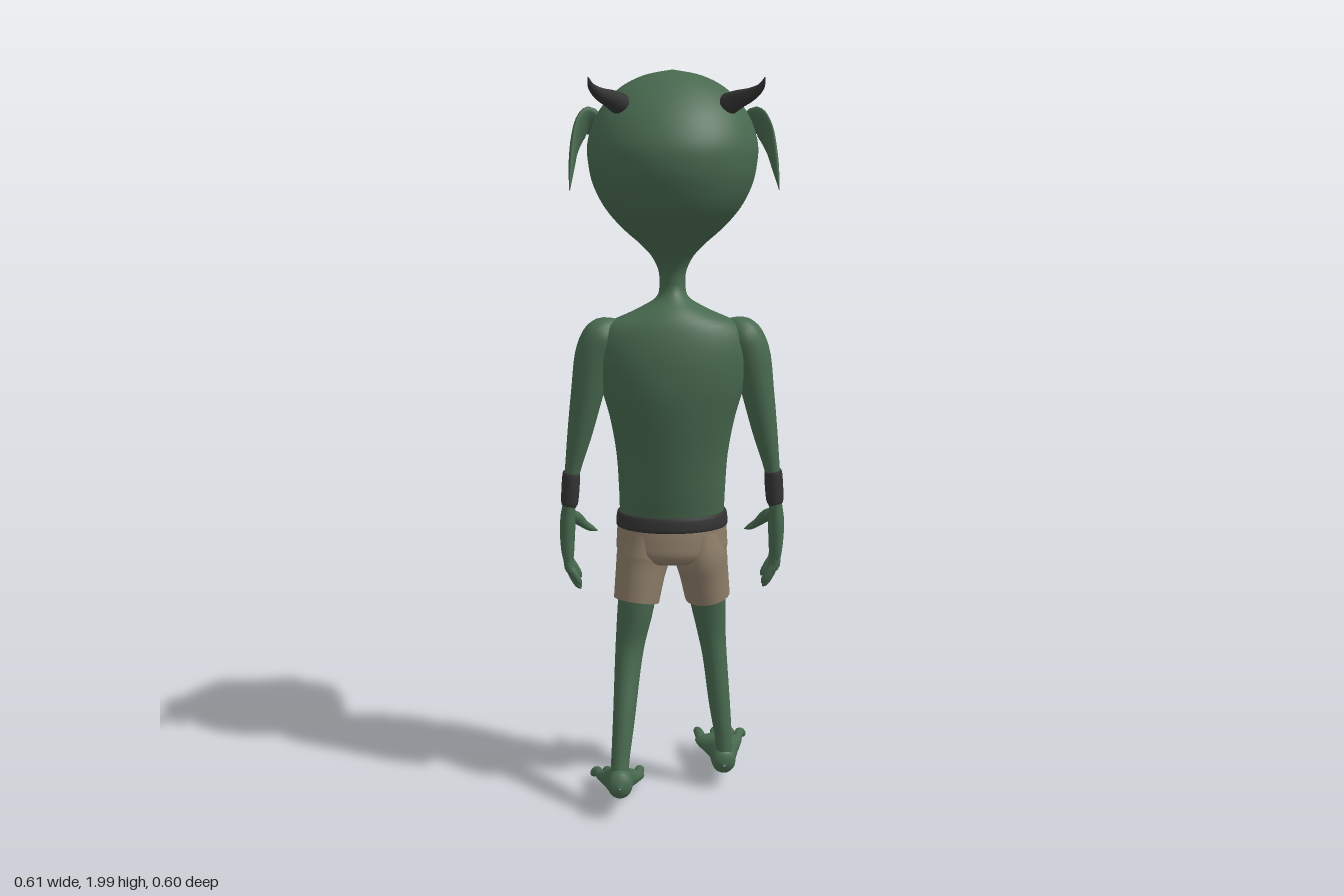
import * as THREE from 'three';

const mat = (name, color) => {
  const m = new THREE.MeshStandardMaterial({ color });
  m.name = name;
  return m;
};

// Smooth interpolation through rows of numbers, t in 0..1
function sample(rows, t) {
  const n = rows.length - 1, f = Math.min(Math.max(t, 0), 1) * n;
  const i = Math.min(Math.floor(f), n - 1), k = f - i;
  const a = rows[Math.max(i - 1, 0)], b = rows[i], c = rows[i + 1], d = rows[Math.min(i + 2, n)];
  return b.map((_, j) => b[j] + 0.5 * k * (c[j] - a[j] +
    k * (2 * a[j] - 5 * b[j] + 4 * c[j] - d[j] + k * (3 * (b[j] - c[j]) + d[j] - a[j]))));
}

// Surface from fn(u, v); closed joins the ends in u
function grid(fn, nu, nv, closed) {
  const pos = [], idx = [], cols = closed ? nu : nu + 1;
  for (let j = 0; j <= nv; j++)
    for (let i = 0; i < cols; i++) pos.push(...fn(i / nu, j / nv).toArray());
  for (let j = 0; j < nv; j++)
    for (let i = 0; i < nu; i++) {
      const a = j * cols + i, b = j * cols + (i + 1) % cols;
      idx.push(a, b, b + cols, a, b + cols, a + cols);
    }
  const g = new THREE.BufferGeometry();
  g.setAttribute('position', new THREE.Float32BufferAttribute(pos, 3));
  g.setIndex(idx);
  g.computeVertexNormals();
  return g;
}

// Point on a horizontal section [y, halfWidth, zCentre, zBack, zFront]; angle 0 faces -z
function sectionPoint(rows, angle, t) {
  const [y, w, zc, zb, zf] = sample(rows, t), c = Math.cos(angle);
  return new THREE.Vector3(Math.max(w, 0.0005) * Math.sin(angle), y, c > 0 ? zc + (zf - zc) * c : zc - (zb - zc) * c);
}
const stack = (rows, nu = 40, nv = 40) =>
  grid((u, v) => sectionPoint(rows, u * Math.PI * 2, v), nu, nv, true);

// Tapered limb through points [x, y, z, radiusA, radiusB], mirrored by s
function limb(points, s = 1, ref = [1, 0, 0], nu = 14, nv = 20) {
  const rows = points.map(([x, y, z, r, q = r]) => [x * s, y, z, r, q]);
  const at = t => new THREE.Vector3(...sample(rows, t).slice(0, 3));
  return grid((u, v) => {
    const r = sample(rows, v), a = u * Math.PI * 2;
    const T = at(v + 0.01).sub(at(v - 0.01)).normalize();
    const A = new THREE.Vector3(...ref).addScaledVector(T, -T.dot(new THREE.Vector3(...ref))).normalize();
    const B = T.clone().cross(A);
    return at(v).addScaledVector(A, Math.max(r[3], 0.0005) * Math.sin(a))
      .addScaledVector(B, -Math.max(r[4], 0.0005) * Math.cos(a));
  }, nu, nv, true);
}

const HEAD = [
  [2.0, 0, 0.04, 0.04, 0.04], [1.985, 0.075, 0.05, 0.12, -0.05], [1.95, 0.14, 0.06, 0.175, -0.108],
  [1.89, 0.192, 0.06, 0.23, -0.135], [1.82, 0.217, 0.06, 0.265, -0.142], [1.76, 0.215, 0.06, 0.268, -0.158],
  [1.71, 0.203, 0.06, 0.255, -0.182], [1.66, 0.178, 0.06, 0.232, -0.193], [1.62, 0.147, 0.055, 0.2, -0.198],
  [1.59, 0.117, 0.05, 0.175, -0.19], [1.565, 0.088, 0.05, 0.152, -0.13], [1.53, 0.055, 0.05, 0.12, -0.04],
  [1.49, 0.036, 0.05, 0.097, 0.002], [1.45, 0.034, 0.05, 0.094, 0.006]];

// Point on the head at a given height, pushed outward by off
function headPoint(angle, y, off = 0) {
  let lo = 0, hi = 1;
  for (let i = 0; i < 24; i++) {
    const m = (lo + hi) / 2;
    if (sample(HEAD, m)[0] > y) lo = m; else hi = m;
  }
  const p = sectionPoint(HEAD, angle, lo);
  return p.add(new THREE.Vector3(Math.sin(angle), 0, -Math.cos(angle)).multiplyScalar(off));
}

// Thin patch on the face between two heights, with a rounded rim
function facePatch(a0, a1, top, bottom, off) {
  return grid((u, v) => headPoint(a0 + (a1 - a0) * u, top(u) + (bottom(u) - top(u)) * v, off), 28, 8, false);
}
function faceRim(a0, a1, edge, r, off) {
  const pts = [];
  for (let i = 0; i <= 16; i++) pts.push(headPoint(a0 + (a1 - a0) * i / 16, edge(i / 16), off));
  return new THREE.TubeGeometry(new THREE.CatmullRomCurve3(pts), 32, r, 8);
}

export function createModel() {
  const root = new THREE.Group();
  const skin = mat('green skin', 0x48694f), dark = mat('charcoal', 0x343435);
  const cloth = mat('tan cloth', 0x8d7d68), white = mat('ivory', 0xdcdcda);
  const eyeMat = mat('pale green eye', 0x6d8670);
  cloth.side = THREE.DoubleSide;
  const add = (name, geo, m, parent = root) => {
    const mesh = new THREE.Mesh(geo, m);
    mesh.name = name;
    parent.add(mesh);
    return mesh;
  };

  // Head, nose and grin
  add('head', stack(HEAD, 56, 64), skin);
  add('nose', limb([[0, 1.87, -0.12, 0.008], [0, 1.79, -0.15, 0.022, 0.02], [0, 1.73, -0.185, 0.036, 0.024],
    [0, 1.695, -0.192, 0.034, 0.022], [0, 1.68, -0.185, 0.002]]), skin);
  const arch = u => (2 * u - 1) ** 2;
  const lipTop = u => 1.672 + 0.045 * arch(u), lipLow = u => 1.606 + 0.107 * arch(u);
  add('teeth', facePatch(-0.92, 0.92, lipTop, lipLow, 0.004), white);
  add('upperLip', faceRim(-0.96, 0.96, lipTop, 0.009, 0.003), skin);
  add('lowerLip', faceRim(-0.96, 0.96, lipLow, 0.008, 0.001), skin);

  // Torso
  add('torso', stack([
    [1.5, 0.036, 0.05, 0.095, 0.005], [1.45, 0.034, 0.05, 0.095, 0.004], [1.42, 0.046, 0.06, 0.115, 0],
    [1.39, 0.1, 0.07, 0.147, -0.02], [1.35, 0.178, 0.07, 0.168, -0.04], [1.28, 0.2, 0.07, 0.183, -0.06],
    [1.19, 0.188, 0.065, 0.185, -0.08], [1.1, 0.165, 0.055, 0.172, -0.086], [1.0, 0.149, 0.04, 0.152, -0.108],
    [0.9, 0.143, 0.03, 0.133, -0.115], [0.84, 0.141, 0.02, 0.119, -0.1], [0.79, 0.135, 0.02, 0.112, -0.08]]), skin);

  // Shorts seat, belt and buckle
  add('shortsSeat', stack([[0.825, 0.146, 0.02, 0.121, -0.093], [0.77, 0.15, 0.02, 0.127, -0.092],
    [0.73, 0.148, 0.02, 0.125, -0.085], [0.705, 0.11, 0.02, 0.1, -0.06], [0.695, 0, 0.02, 0.02, 0.02]]), cloth);
  add('belt', stack([[0.84, 0.139, 0.02, 0.116, -0.094], [0.838, 0.148, 0.02, 0.126, -0.104],
    [0.803, 0.151, 0.02, 0.128, -0.1], [0.801, 0.14, 0.02, 0.116, -0.09]], 40, 12), dark);
  add('buckle', new THREE.BoxGeometry(0.05, 0.03, 0.009), white).position.set(0, 0.82, -0.104);

  for (const s of [1, -1]) {
    const side = s > 0 ? 'left' : 'right';
    const name = part => side + part;

    // Eyes with heavy lids
    const eyeTop = u => 1.85 + 0.016 * (1 - arch(u)), eyeLow = u => 1.85 - 0.018 * (1 - arch(u));
    const [e0, e1] = s > 0 ? [0.24, 0.7] : [-0.7, -0.24];
    add(name('Eye'), facePatch(e0, e1, eyeTop, eyeLow, 0.004), eyeMat);
    add(name('UpperLid'), faceRim(e0, e1, eyeTop, 0.009, 0.004), skin);
    add(name('LowerLid'), faceRim(e0, e1, eyeLow, 0.006, 0.003), skin);
    const brow = [0.1, 0.3, 0.5, 0.7, 0.85].map((a, i) => {
      const p = headPoint(a, [1.87, 1.893, 1.905, 1.9, 1.875][i]);
      return [p.x, p.y, p.z, [0.004, 0.014, 0.015, 0.012, 0.002][i]];
    });
    add(name('Brow'), limb(brow, s, [0, 1, 0]), skin);

    // Drooping leaf ear
    add(name('Ear'), limb([[0.185, 1.855, 0.01, 0.03, 0.02], [0.222, 1.868, 0.025, 0.05, 0.014],
      [0.246, 1.83, 0.065, 0.054, 0.01], [0.256, 1.77, 0.125, 0.032, 0.008], [0.261, 1.705, 0.187, 0.001]],
      s, [0, 0.7, 0.7]), skin);

    // Curved horn
    add(name('Horn'), limb([[0.135, 1.915, 0.16, 0.028], [0.16, 1.928, 0.198, 0.022], [0.183, 1.938, 0.24, 0.016],
      [0.203, 1.955, 0.275, 0.009], [0.211, 1.978, 0.295, 0.001]], s), dark);

    // Arm and wristband
    add(name('Arm'), limb([[0.14, 1.365, 0.07, 0.004], [0.175, 1.335, 0.07, 0.045, 0.05], [0.203, 1.28, 0.068, 0.052, 0.056],
      [0.226, 1.17, 0.062, 0.043, 0.054], [0.247, 1.06, 0.058, 0.033, 0.042], [0.267, 0.96, 0.056, 0.021, 0.027],
      [0.276, 0.89, 0.055, 0.018, 0.023], [0.28, 0.84, 0.05, 0.018, 0.026]], s, [1, 0, 0], 18, 32), skin);
    add(name('Wristband'), limb([[0.27, 0.952, 0.056, 0.015, 0.02], [0.2705, 0.95, 0.056, 0.024, 0.029],
      [0.276, 0.872, 0.055, 0.023, 0.028], [0.276, 0.869, 0.055, 0.012, 0.018]], s), dark);

    // Hand
    const hand = new THREE.Group();
    hand.name = name('Hand');
    root.add(hand);
    add('palm', limb([[0.278, 0.87, 0.053, 0.016, 0.02], [0.282, 0.82, 0.04, 0.021, 0.038], [0.284, 0.76, 0.022, 0.02, 0.052],
      [0.283, 0.71, 0.016, 0.015, 0.05], [0.28, 0.69, 0.014, 0.003, 0.03]], s), skin, hand);
    [0.054, 0.027, 0, -0.026].forEach((z, i) => {
      const drop = [0.02, 0, 0, 0.015][i];
      add('finger', limb([[0.284, 0.73, z, 0.011], [0.281, 0.69, z, 0.012], [0.269, 0.655 + drop, z, 0.011],
        [0.255, 0.63 + drop, z, 0.009], [0.249, 0.62 + drop, z, 0.001]], s, [0, 0, 1], 10, 12), skin, hand);
    });
    add('thumb', limb([[0.283, 0.83, 0.02, 0.012], [0.262, 0.812, -0.014, 0.017], [0.24, 0.787, -0.034, 0.012],
      [0.22, 0.772, -0.042, 0.009], [0.202, 0.765, -0.044, 0.001]], s, [0, 0, 1], 10, 12), skin, hand);

    // Striding leg and its trouser leg
    const shin = s > 0
      ? [[0.085, 0.7, 0.015, 0.055, 0.07], [0.1, 0.58, -0.008, 0.05, 0.052], [0.112, 0.48, -0.02, 0.04, 0.042],
        [0.122, 0.4, -0.022, 0.034, 0.04], [0.135, 0.27, -0.015, 0.03, 0.033], [0.148, 0.15, -0.008, 0.024, 0.024],
        [0.148, 0.09, -0.012, 0.028, 0.03]]
      : [[0.085, 0.7, 0.04, 0.055, 0.07], [0.1, 0.58, 0.05, 0.05, 0.055], [0.115, 0.48, 0.054, 0.041, 0.043],
        [0.124, 0.4, 0.072, 0.036, 0.04], [0.136, 0.27, 0.118, 0.03, 0.034], [0.147, 0.16, 0.152, 0.025, 0.027],
        [0.148, 0.1, 0.165, 0.028, 0.032]];
    add(name('Leg'), limb(shin, s, [1, 0, 0], 18, 32), skin);
    const hemZ = s > 0 ? 0.01 : 0.047;
    add(name('ShortsLeg'), limb([[0.075, 0.79, 0.02, 0.06, 0.09], [0.078, 0.72, 0.02, 0.072, 0.098],
      [0.088, 0.66, (hemZ + 0.02) / 2, 0.067, 0.088], [0.098, 0.593, hemZ, 0.062, 0.078]], s, [1, 0, 0], 24, 16), cloth);

    // Clawed foot; the trailing one is pitched toes down
    const foot = new THREE.Group();
    foot.name = name('Foot');
    foot.position.set(0.148 * s, s > 0 ? 0.055 : 0.072, s > 0 ? -0.008 : 0.186);
    foot.rotation.x = s > 0 ? 0 : -0.2;
    root.add(foot);
    add('sole', limb([[0, 0.035, 0.032, 0.003], [0, 0.037, 0.02, 0.03, 0.033], [0, 0.043, -0.015, 0.036, 0.043],
      [0.003, 0.037, -0.07, 0.043, 0.037], [0, 0.028, -0.13, 0.06, 0.027], [-0.002, 0.022, -0.18, 0.069, 0.021],
      [-0.002, 0.018, -0.208, 0.058, 0.012], [-0.002, 0.016, -0.215, 0.03, 0.002]], s, [1, 0, 0], 20, 24), skin, foot);
    [[-0.052, -0.06, -0.276], [-0.015, -0.008, -0.276], [0.022, 0.04, -0.262], [0.05, 0.073, -0.248]].forEach(([x0, x1, z]) => {
      const mid = x0 * 0.4 + x1 * 0.6;
      add('toe', limb([[x0, 0.022, -0.17, 0.014], [mid, 0.025, -0.225, 0.014], [x1, 0.018, z + 0.015, 0.011],
        [x1, 0.012, z - 0.006, 0.006]], s, [1, 0, 0], 10, 12), skin, foot);
      add('claw', limb([[x1, 0.014, z + 0.004, 0.0085], [x1, 0.01, z - 0.008, 0.006], [x1, 0.002, z - 0.022, 0.001]],
        s, [1, 0, 0], 8, 6), white, foot);
    });
  }
  return root;
}
